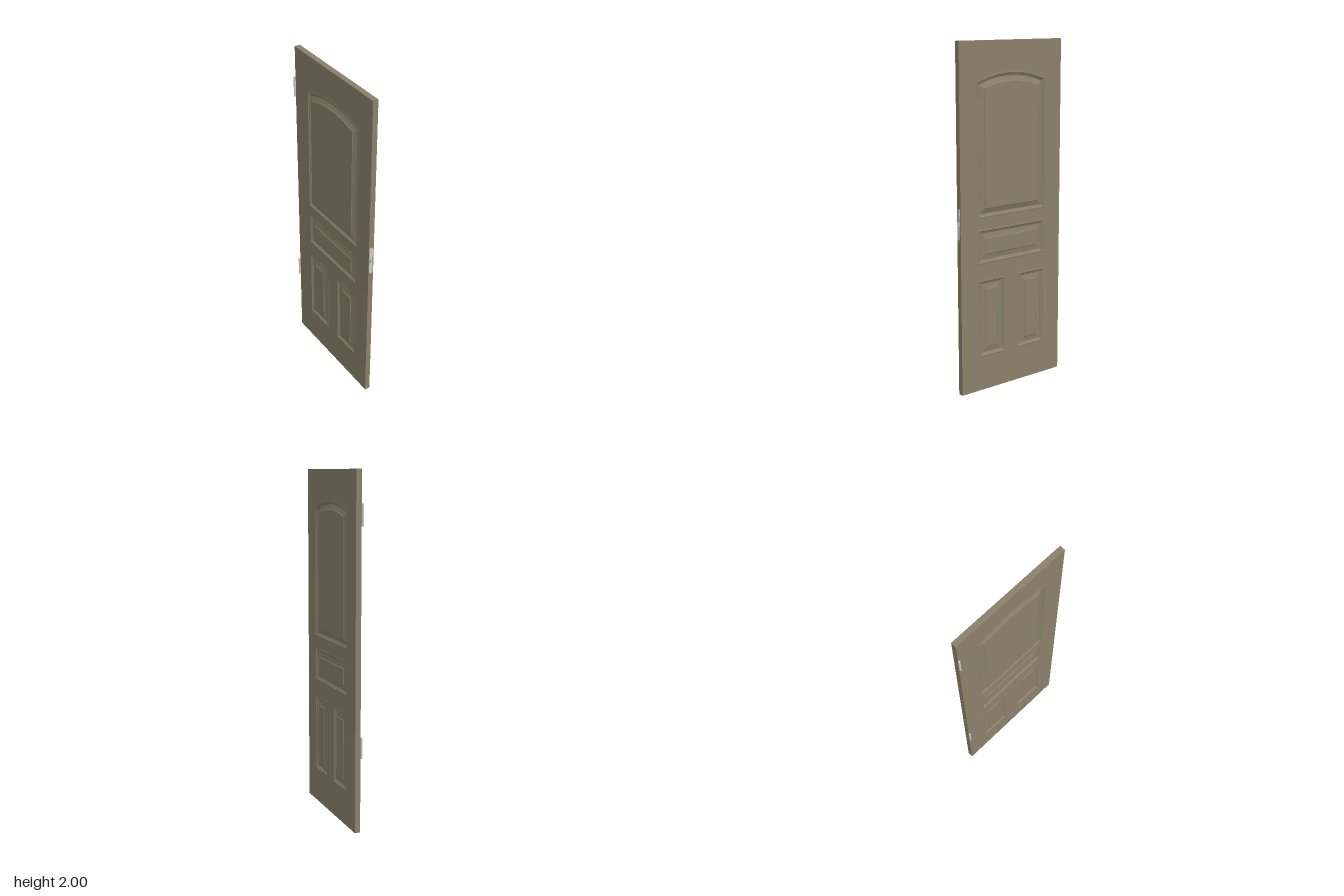
import * as THREE from 'three';

const BACK = -0.012, FRONT = 0.02;          // slab faces along x
const wood = new THREE.MeshStandardMaterial({ color: 0x8a816b, flatShading: true });
const metal = new THREE.MeshStandardMaterial({ color: 0xcccccc });

// z0..z1 and y0..y1 are the outer moulding edges; rise is the height of an arched top
const panels = [
  { name: 'archedPanel', z0: -0.25, z1: 0.244, y0: 1.02, y1: 1.78, rise: 0.05, field: 0.004 },
  { name: 'middlePanel', z0: -0.245, z1: 0.24, y0: 0.755, y1: 0.955, rise: 0, field: -0.001 },
  { name: 'lowerPanelFront', z0: 0.045, z1: 0.24, y0: 0.2, y1: 0.66, rise: 0, field: -0.001 },
  { name: 'lowerPanelBack', z0: -0.245, z1: -0.048, y0: 0.2, y1: 0.66, rise: 0, field: -0.001 },
];

// Convex outline of a panel, shrunk by d, as [z, y] points
function outline({ z0, z1, y0, y1, rise }, d) {
  const mid = (z0 + z1) / 2, w = (z1 - z0) / 2;
  const pts = [[z0 + d, y0 + d], [z1 - d, y0 + d]];
  const n = rise ? 20 : 1;
  const R = rise ? (w * w + rise * rise) / (2 * rise) : 0;
  for (let i = 0; i <= n; i++) {
    const u = (w - d) * (1 - 2 * i / n);
    const y = rise ? y1 + rise - R + Math.sqrt((R - d) ** 2 - u * u) : y1 - d;
    pts.push([mid + u, y]);
  }
  return pts;
}

// Moulding, groove, bevel and raised field, lofted through shrinking outlines
function panelGeometry(panel, face, out) {
  const steps = [[0, 0], [0.003, 0.0012], [0.009, 0.0012], [0.013, -0.003], [0.019, -0.005],
    [0.022, -0.008], [0.027, -0.008], [0.052, panel.field - 0.003], [0.055, panel.field]];
  const rings = steps.map(([d, h]) =>
    outline(panel, d).map(([z, y]) => [face + out * h, y, z]));
  const pos = [];
  const tri = (a, b, c) => pos.push(...(out > 0 ? [...a, ...c, ...b] : [...a, ...b, ...c]));
  const n = rings[0].length;
  for (let r = 0; r < rings.length - 1; r++) {
    for (let i = 0; i < n; i++) {
      const j = (i + 1) % n, A = rings[r], B = rings[r + 1];
      tri(A[i], A[j], B[j]);
      tri(A[i], B[j], B[i]);
    }
  }
  const last = rings[rings.length - 1];
  for (let i = 1; i < n - 1; i++) tri(last[0], last[i], last[i + 1]);
  const g = new THREE.BufferGeometry();
  g.setAttribute('position', new THREE.Float32BufferAttribute(pos, 3));
  g.computeVertexNormals();
  return g;
}

function add(parent, name, geometry, material, x = 0, y = 0, z = 0) {
  const m = new THREE.Mesh(geometry, material);
  m.name = name;
  m.position.set(x, y, z);
  parent.add(m);
  return m;
}

export function createModel() {
  const door = new THREE.Group();
  door.name = 'door';

  // Slab with an opening for each panel; shape x runs along -z
  const toShape = pts => pts.map(([z, y]) => new THREE.Vector2(-z, y));
  const slab = new THREE.Shape(toShape([[-0.367, 0], [0.358, 0], [0.358, 2], [-0.367, 2]]));
  for (const p of panels) slab.holes.push(new THREE.Path(toShape(outline(p, 0))));
  const slabGeo = new THREE.ExtrudeGeometry(slab, { depth: FRONT - BACK, bevelEnabled: false });
  slabGeo.rotateY(Math.PI / 2);
  add(door, 'slab', slabGeo, wood, BACK);

  // Panels on both faces
  for (const p of panels) {
    const g = new THREE.Group();
    g.name = p.name;
    add(g, 'outerFace', panelGeometry(p, FRONT, 1), wood);
    add(g, 'innerFace', panelGeometry(p, BACK, -1), wood);
    door.add(g);
  }

  // Hinge barrels on the back edge
  for (const [name, y] of [['upperHinge', 1.76], ['lowerHinge', 0.488]])
    add(door, name, new THREE.CylinderGeometry(0.006, 0.006, 0.12, 16), metal, -0.019, y, -0.365);

  // Latch plate and bevelled bolt on the front edge
  add(door, 'latchPlate', new THREE.BoxGeometry(0.022, 0.176, 0.002), metal, 0.003, 1.002, 0.358);
  const wedge = new THREE.Shape([[-0.003, -0.357], [-0.003, -0.367], [0, -0.367], [0.009, -0.359],
    [0.009, -0.357]].map(([x, y]) => new THREE.Vector2(x, y)));
  const bolt = new THREE.ExtrudeGeometry(wedge, { depth: 0.024, bevelEnabled: false });
  bolt.rotateX(-Math.PI / 2);
  add(door, 'latchBolt', bolt, metal, 0, 0.99, 0);
  return door;
}
